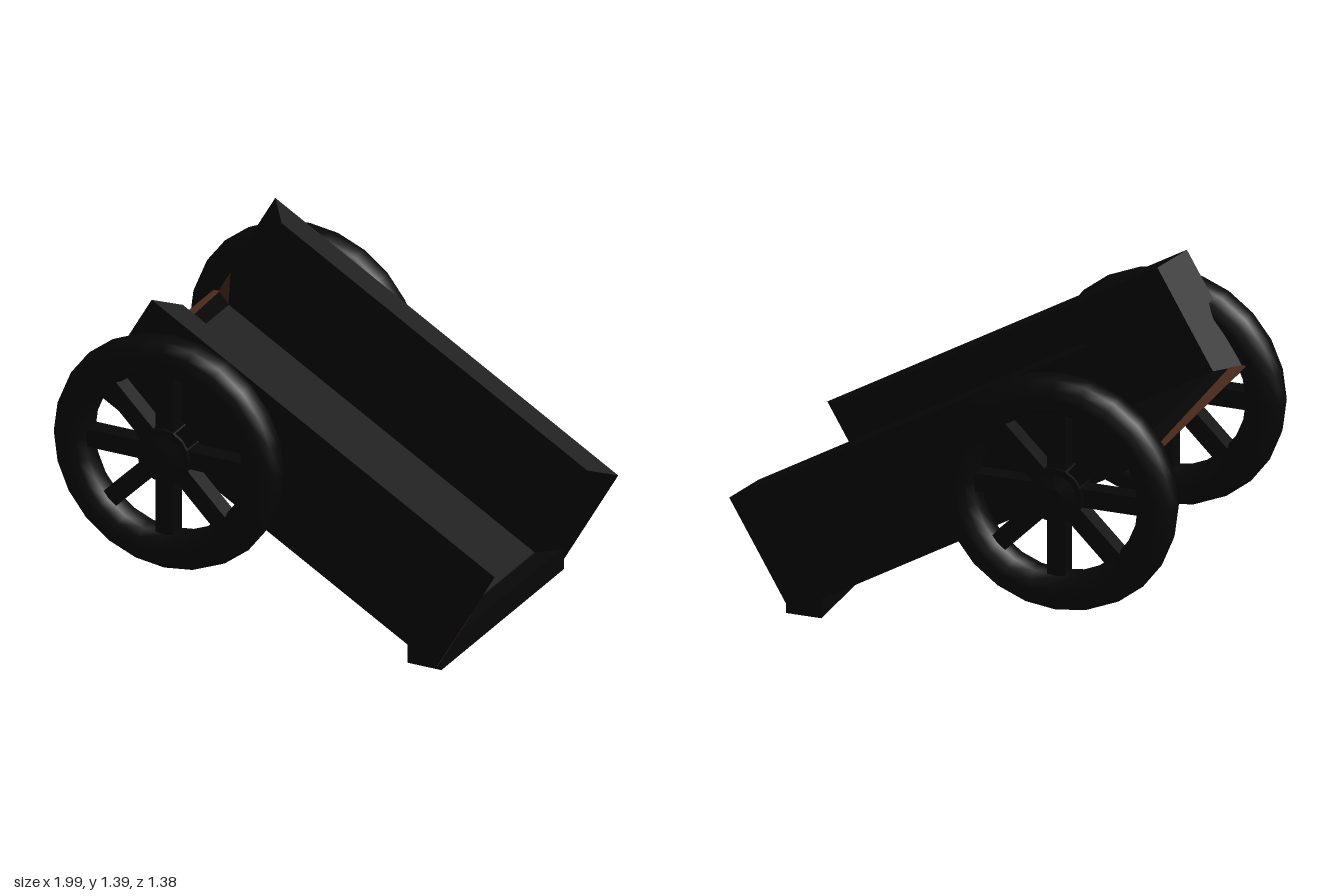
import * as THREE from 'three';

const dark = new THREE.MeshStandardMaterial({ color: 0x070707 });
const darkFlat = new THREE.MeshStandardMaterial({ color: 0x070707, flatShading: true });
const brown = new THREE.MeshStandardMaterial({ color: 0x4a2a1a, side: THREE.DoubleSide });

function add(parent, name, geometry, material) {
  const mesh = new THREE.Mesh(geometry, material);
  mesh.name = name;
  parent.add(mesh);
  return mesh;
}

// Builds a flat-shaded geometry from lists of three or four corners
function facesToGeometry(faces) {
  const pos = [];
  for (const f of faces) {
    for (let k = 1; k + 1 < f.length; k++) pos.push(...f[0], ...f[k], ...f[k + 1]);
  }
  const g = new THREE.BufferGeometry();
  g.setAttribute('position', new THREE.Float32BufferAttribute(pos, 3));
  g.computeVertexNormals();
  return g;
}

// Open-ended trough with a U section and mitred ends
function buildBody() {
  const half = 0.913, inset = 0.1, h = 0.54, floor = 0.052, out = 0.55, inn = 0.44;
  // U section [y, z]: four outer corners, then four inner ones
  const section = [[h, out], [0, out], [0, -out], [h, -out], [h, -inn], [floor, -inn], [floor, inn], [h, inn]];
  const ring = (s) => section.map(([y, z], i) => [s * (half - (i > 3 ? inset : 0)), y, z]);
  const low = ring(1), high = ring(-1);

  const faces = [];
  for (let i = 0; i < 8; i++) {
    const j = (i + 1) % 8;
    faces.push([low[i], high[i], high[j], low[j]]);
  }
  for (let i = 0; i < 3; i++) {
    faces.push([low[i], low[i + 1], low[6 - i], low[7 - i]]);
    faces.push([high[7 - i], high[6 - i], high[i + 1], high[i]]);
  }

  const body = new THREE.Group();
  body.name = 'tiltedBody';
  add(body, 'trough', facesToGeometry(faces), darkFlat);

  // Bare wood showing on the mitred ends
  const lift = ([x, y, z]) => [x + Math.sign(x) * 0.003, y + 0.002, z];
  const mix = (a, b, t) => a.map((v, k) => v + (b[k] - v) * t);
  const bare = [
    [high[1], high[2], mix(high[2], high[5], 0.25), mix(high[1], high[6], 0.55)],
    [high[2], high[5], mix(high[2], high[3], 0.25)],
    [low[1], low[6], mix(low[1], low[0], 0.6)],
  ];
  add(body, 'bareWood', facesToGeometry(bare.map((f) => f.map(lift))), brown);

  body.position.set(-0.067, 0.465, 0);
  body.rotation.z = -Math.PI / 6;
  return body;
}

// Wheel in the xy plane, with a hub that reaches in to the body
function buildWheel(side) {
  const wheel = new THREE.Group();
  wheel.name = side > 0 ? 'frontWheel' : 'backWheel';
  add(wheel, 'rim', new THREE.TorusGeometry(0.435, 0.085, 12, 24), dark);
  add(wheel, 'hub', new THREE.CylinderGeometry(0.12, 0.12, 0.11, 16), darkFlat).rotation.x = Math.PI / 2;
  const cap = add(wheel, 'hubCap', new THREE.CylinderGeometry(0.04, 0.1, 0.025, 16), darkFlat);
  cap.rotation.x = side * Math.PI / 2;
  cap.position.z = side * 0.065;
  for (let i = 0; i < 8; i++) {
    const a = (i * Math.PI) / 4;
    const spoke = add(wheel, 'spoke', new THREE.BoxGeometry(0.3, 0.08, 0.08), darkFlat);
    spoke.position.set(Math.cos(a) * 0.24, Math.sin(a) * 0.24, 0);
    spoke.rotation.z = a;
  }
  wheel.position.set(-0.48, 0.75, side * 0.605);
  return wheel;
}

export function createModel() {
  const model = new THREE.Group();
  model.name = 'cart';
  model.add(buildBody());
  for (const side of [1, -1]) model.add(buildWheel(side));

  // Block that rests on the ground under the low end
  const foot = add(model, 'restingBlock', new THREE.BoxGeometry(0.155, 0.1, 1.09), darkFlat);
  foot.position.set(0.668, 0.05, 0);
  return model;
}
